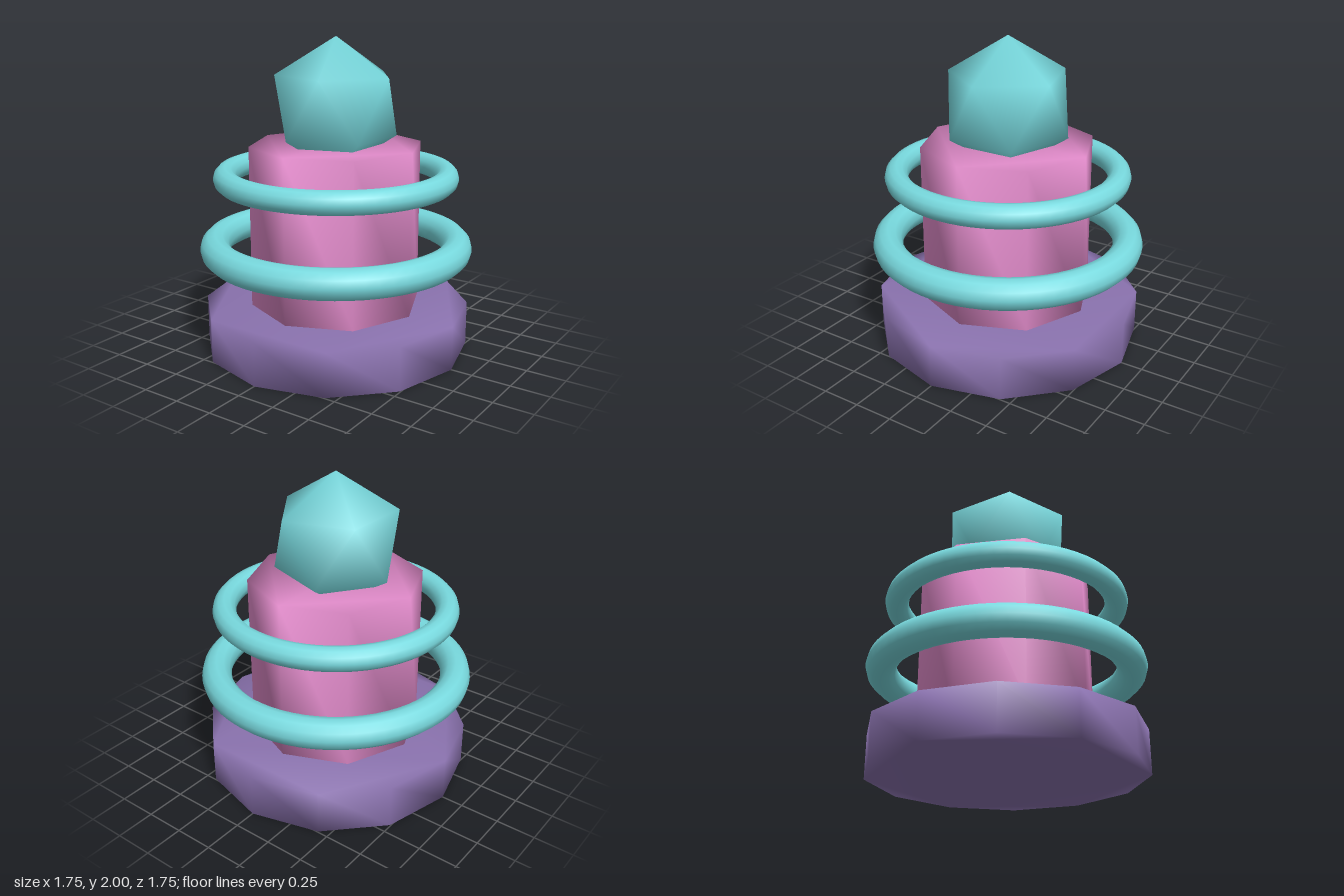
import * as THREE from 'three';
import { mergeVertices } from 'three/addons/utils/BufferGeometryUtils.js';

// Share corners between faces so the shading runs smoothly over every edge
function smooth(geometry) {
  geometry.deleteAttribute('uv');
  geometry.deleteAttribute('normal');
  const merged = mergeVertices(geometry, 1e-4);
  merged.clearGroups();
  merged.computeVertexNormals();
  return merged;
}

// Upright prism with its first corner on +x
function prism(sides, radius, bottom, top) {
  const corners = Array.from({ length: sides }, (_, i) => {
    const a = (i / sides) * Math.PI * 2;
    return new THREE.Vector2(Math.cos(a) * radius, Math.sin(a) * radius);
  });
  const geometry = new THREE.ExtrudeGeometry(new THREE.Shape(corners), {
    depth: top - bottom, bevelEnabled: false, steps: 1,
  });
  geometry.rotateX(-Math.PI / 2).translate(0, bottom, 0);
  return smooth(geometry);
}

function ring(radius, tube, y) {
  return new THREE.TorusGeometry(radius, tube, 12, 64).rotateX(Math.PI / 2).translate(0, y, 0);
}

// Icosahedron standing on a corner
function gem(radius, y) {
  const golden = (1 + Math.sqrt(5)) / 2;
  const geometry = smooth(new THREE.IcosahedronGeometry(radius, 0));
  return geometry.rotateZ(-Math.atan(1 / golden)).translate(0, y, 0);
}

export function createModel() {
  const material = (name, color) => {
    const m = new THREE.MeshStandardMaterial({ color });
    m.name = name;
    return m;
  };
  const purple = material('purple', 0x8a72ae);
  const pink = material('pink', 0xe08ac9);
  const teal = material('teal', 0x78d9de);

  const group = new THREE.Group();
  const add = (name, geometry, mat) => {
    const mesh = new THREE.Mesh(geometry, mat);
    mesh.name = name;
    group.add(mesh);
  };

  add('base', prism(12, 0.86, 0, 0.28), purple);
  add('column', prism(8, 0.555, 0.28, 1.325), pink);
  add('lowerRing', ring(0.78, 0.096, 0.665), teal);
  add('upperRing', ring(0.706, 0.075, 1.12), teal);
  add('gem', gem(0.43, 1.57), teal);
  return group;
}
